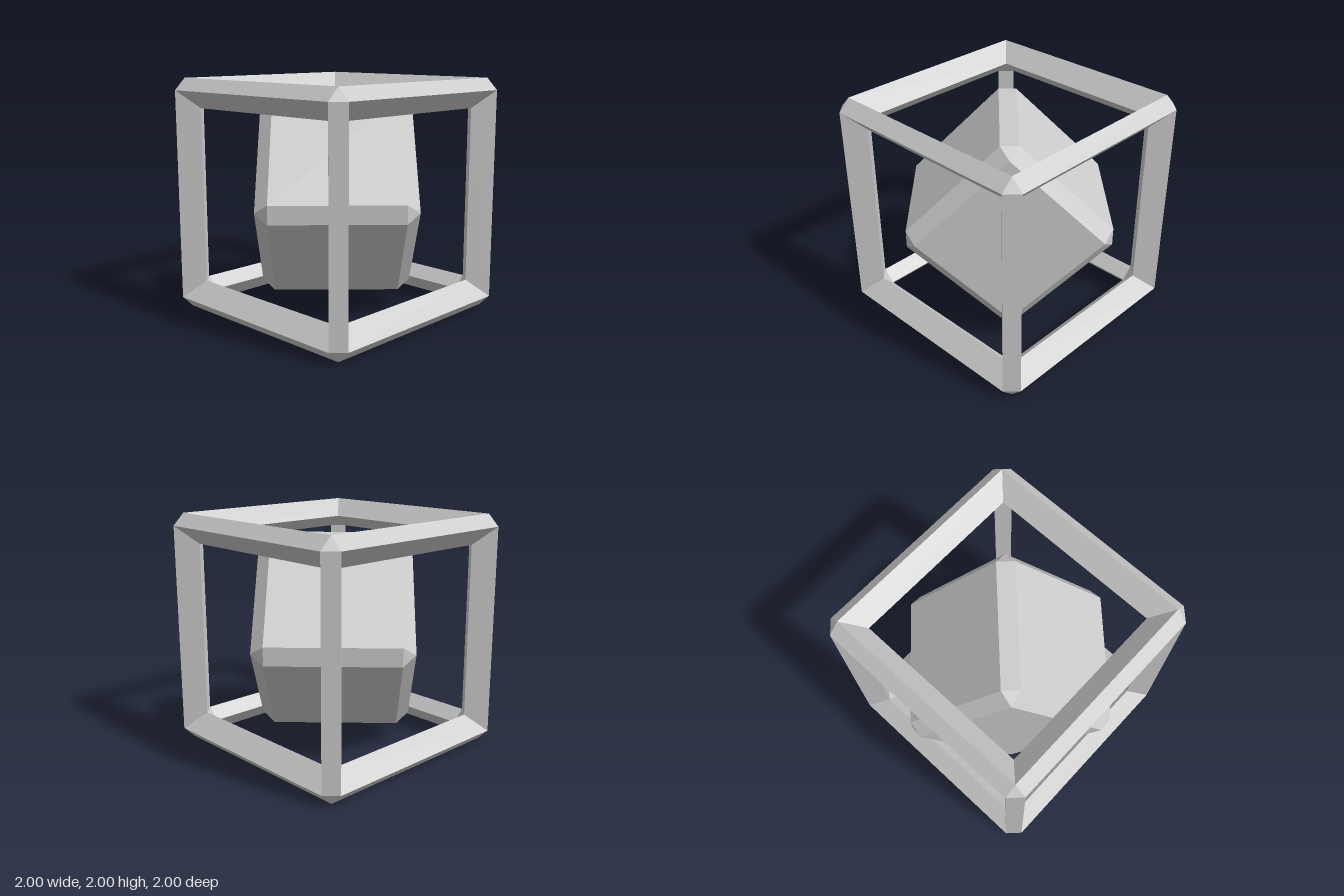
import * as THREE from 'three';
import { ConvexGeometry } from 'three/addons/geometries/ConvexGeometry.js';

const OUT = 1, CHAMFER = 0.1, DEPTH = 0.15; // open frame
const HALF = 0.643, CUT = 0.107;            // tilted core
const SIGNS = [-1, 1];

// Rotate coordinates (x, y, z) so that axis 0, 1 or 2 takes the first one
const cycle = (a, b, c, axis) => {
  const v = [0, 0, 0];
  v[axis] = a;
  v[(axis + 1) % 3] = b;
  v[(axis + 2) % 3] = c;
  return new THREE.Vector3(...v);
};

export function createModel() {
  const model = new THREE.Group();
  const material = new THREE.MeshStandardMaterial({ color: 0xcccccc, flatShading: true });
  const hull = (name, points, parent) => {
    const mesh = new THREE.Mesh(new ConvexGeometry(points), material);
    mesh.name = name;
    parent.add(mesh);
    return mesh;
  };

  // Frame: each corner has an outer triangle and a parallel inner one
  const frame = new THREE.Group();
  frame.name = 'openFrame';
  frame.position.y = 1;
  model.add(frame);
  const low = OUT - CHAMFER;

  for (let axis = 0; axis < 3; axis++) {
    for (const s of SIGNS) for (const t of SIGNS) {
      // Rectangular bar with mitred ends
      const points = [];
      for (const e of SIGNS) for (const d of [0, DEPTH]) {
        points.push(cycle(e * (low - d), s * (low - d), t * (OUT - d), axis));
        points.push(cycle(e * (low - d), s * (OUT - d), t * (low - d), axis));
      }
      hull('frameBar', points, frame);
    }
  }

  // Corner blocks joining three bars
  for (const sx of SIGNS) for (const sy of SIGNS) for (const sz of SIGNS) {
    const points = [];
    for (let axis = 0; axis < 3; axis++) for (const d of [0, DEPTH]) {
      points.push(cycle(OUT - d, low - d, low - d, axis).multiply(new THREE.Vector3(sx, sy, sz)));
    }
    hull('frameCorner', points, frame);
  }

  // Chamfered core cube balanced on one edge
  const corePoints = [];
  for (let axis = 0; axis < 3; axis++) {
    for (const a of SIGNS) for (const b of SIGNS) for (const c of SIGNS) {
      corePoints.push(cycle(a * HALF, b * (HALF - CUT), c * (HALF - CUT), axis));
    }
  }
  const core = hull('coreCube', corePoints, model);
  core.position.y = 1;
  core.rotation.set(Math.PI / 4, Math.PI / 4, 0, 'YXZ');

  return model;
}
